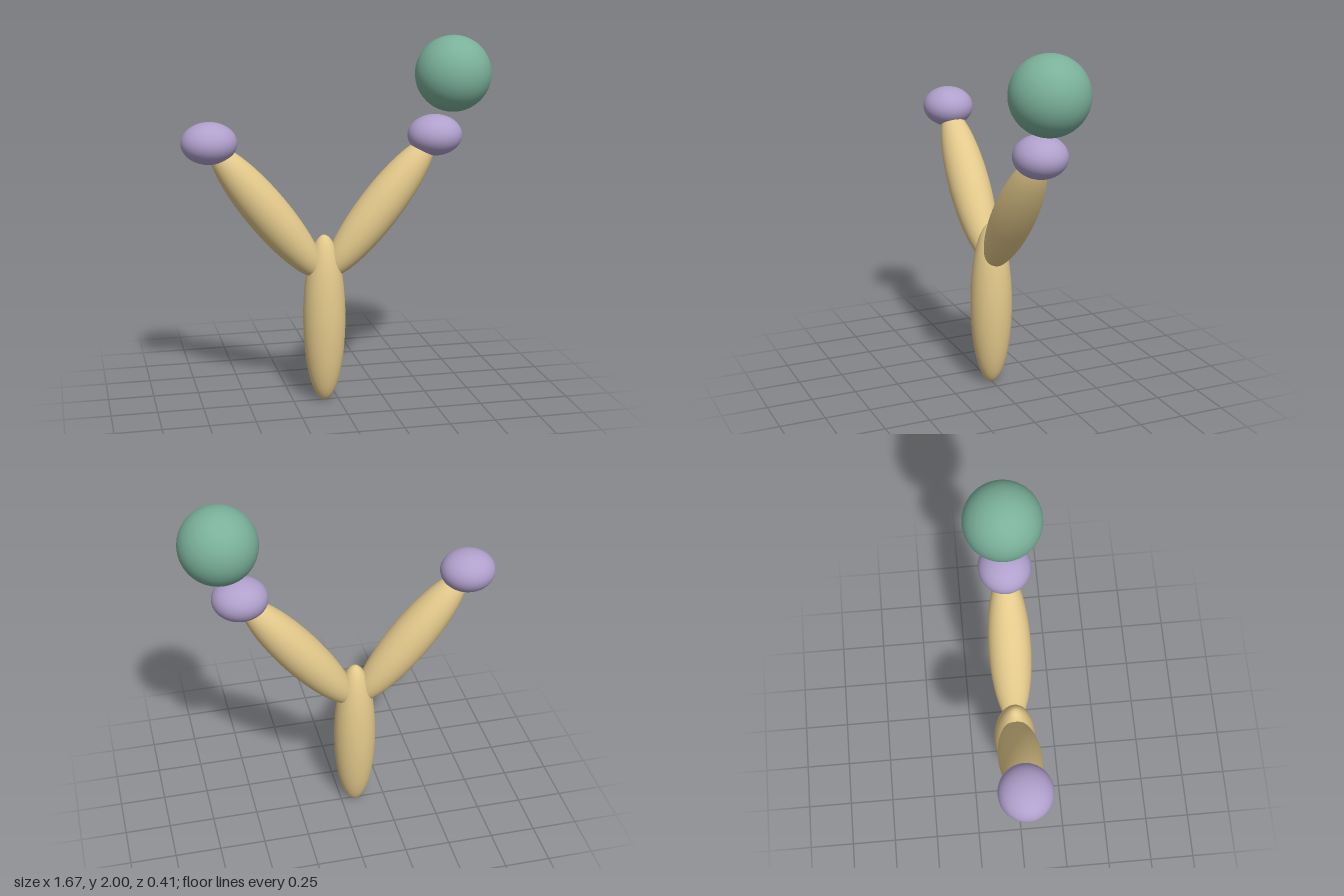
import * as THREE from 'three';

const material = (color) => new THREE.MeshStandardMaterial({ color });

export function createModel() {
  const model = new THREE.Group();
  model.name = 'forkedBranch';
  const wood = material(0xe3c98b);
  const lilac = material(0xb0a0cc);
  const green = material(0x7ab09a);
  const sphere = new THREE.SphereGeometry(1, 64, 40);
  const axisX = -0.077; // the fork is mirrored about the trunk

  // Ellipsoid with given half sizes, tilted about z
  function ellipsoid(name, mat, [x, y], [rx, ry, rz], tilt = 0) {
    const mesh = new THREE.Mesh(sphere, mat);
    mesh.name = name;
    mesh.position.set(x, y, 0);
    mesh.scale.set(rx, ry, rz);
    mesh.rotation.z = tilt;
    model.add(mesh);
  }

  // Upright trunk
  ellipsoid('trunk', wood, [axisX, 0.471], [0.116, 0.471, 0.116]);

  // Two arms, each ending in a flattened knob
  for (const [side, s] of [['left', 1], ['right', -1]]) {
    ellipsoid(side + 'Arm', wood, [axisX + s * 0.306, 1.078], [0.116, 0.471, 0.116], -s * 0.668);
    ellipsoid(side + 'Knob', lilac, [axisX + s * 0.612, 1.466], [0.148, 0.111, 0.14]);
  }

  // Ball floating above the left knob
  ellipsoid('ball', green, [0.632, 1.795], [0.205, 0.205, 0.205]);

  return model;
}
